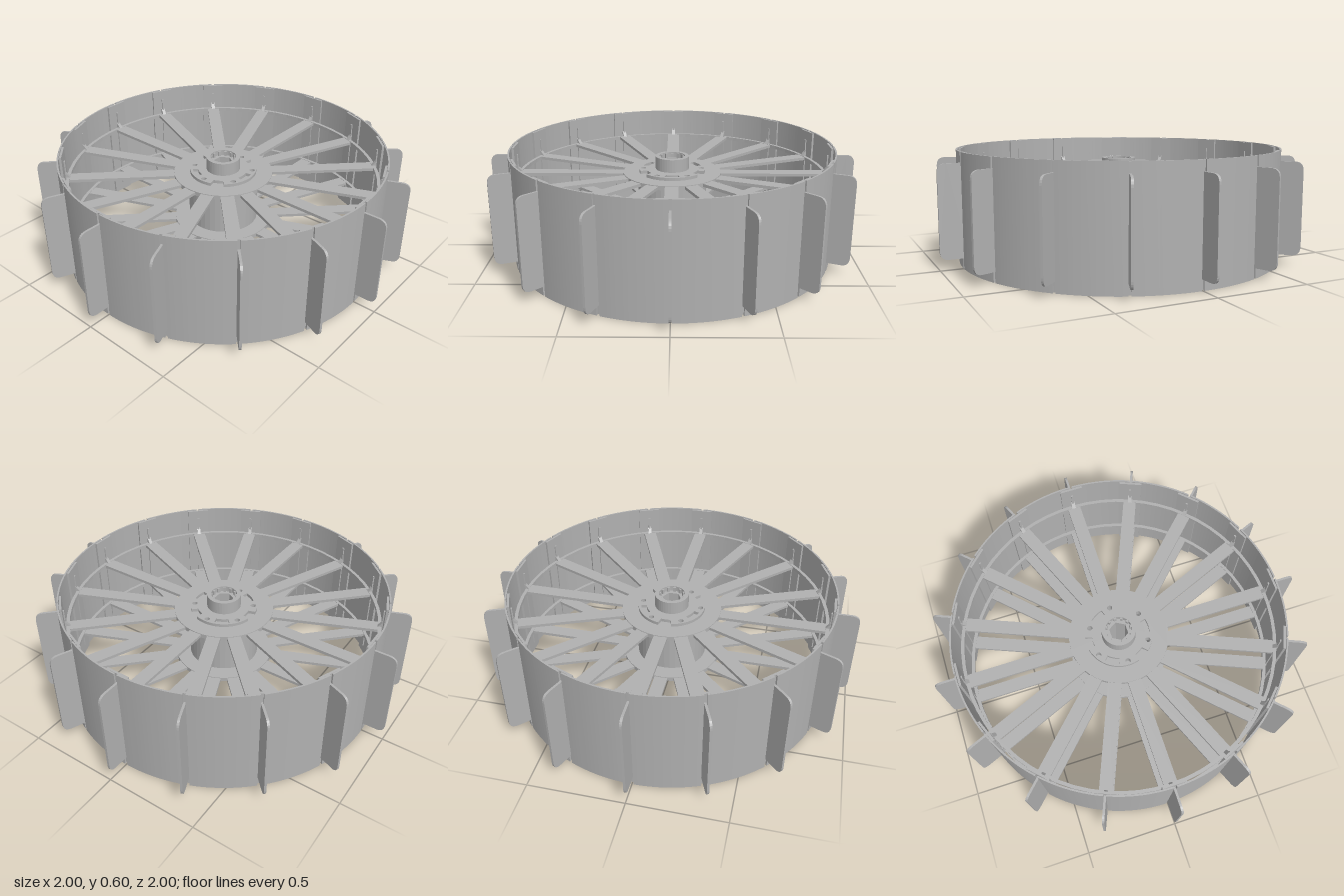
import * as THREE from 'three';

const COUNT = 16, STEP = Math.PI * 2 / COUNT, HEIGHT = 0.6;
const LEVELS = [0.16, 0.44]; // heights of the two spoke layers

export function createModel() {
  const wheel = new THREE.Group();
  wheel.name = 'paddleWheel';
  const steel = new THREE.MeshStandardMaterial({ color: 0xb0b0b0 });
  steel.name = 'grey steel';

  const add = (parent, name, geometry) => {
    const mesh = new THREE.Mesh(geometry, steel);
    mesh.name = name;
    parent.add(mesh);
    return mesh;
  };
  // Flat plate: outline seen from above, thickened upwards from y
  const plate = (shape, y, thick, curveSegments = 12) =>
    new THREE.ExtrudeGeometry(shape, { depth: thick, bevelEnabled: false, curveSegments })
      .rotateX(-Math.PI / 2).translate(0, y, 0);
  const disc = r => new THREE.Shape().absarc(0, 0, r, 0, Math.PI * 2);
  const circleHole = (shape, r, x = 0, y = 0) =>
    shape.holes.push(new THREE.Path().absarc(x, y, r, 0, Math.PI * 2, true));
  const hexHole = (shape, r) => {
    const pts = [];
    for (let i = 0; i < 6; i++) {
      const a = i * Math.PI / 3 + Math.PI / 6;
      pts.push(new THREE.Vector2(r * Math.cos(a), r * Math.sin(a)));
    }
    shape.holes.push(new THREE.Path(pts));
  };
  const boltHoles = shape => {
    for (let i = 0; i < 6; i++) {
      const a = i * Math.PI / 3 + Math.PI / 6;
      circleHole(shape, 0.014, 0.16 * Math.cos(a), 0.16 * Math.sin(a));
    }
  };
  // Arc-shaped strip between two radii and two angles
  const sector = (r0, r1, a0, a1) => {
    const s = new THREE.Shape();
    s.absarc(0, 0, r1, a0, a1, false);
    s.absarc(0, 0, r0, a1, a0, true);
    s.closePath();
    return s;
  };

  // Paddle with rounded outer corners
  const p = new THREE.Shape();
  p.moveTo(0.85, 0.055);
  p.lineTo(0.955, 0.055);
  p.quadraticCurveTo(1, 0.055, 1, 0.1);
  p.lineTo(1, 0.5);
  p.quadraticCurveTo(1, 0.545, 0.955, 0.545);
  p.lineTo(0.85, 0.545);
  p.closePath();
  const paddleGeo = new THREE.ExtrudeGeometry(p, { depth: 0.012, bevelEnabled: false, curveSegments: 6 })
    .translate(0, 0, -0.006);
  const panelGeo = plate(sector(0.872, 0.881, 0.008, STEP - 0.008), 0, HEIGHT, 8);
  const strapGeo = new THREE.BoxGeometry(0.012, HEIGHT - 0.005, 0.125).translate(0.863, HEIGHT / 2, 0);
  const spokeGeo = new THREE.BoxGeometry(0.6, 0.016, 0.072).translate(0.55, 0, 0);

  // Small triangular gusset joining a spoke tip to its strap
  const g = new THREE.Shape();
  g.moveTo(0.825, 0);
  g.lineTo(0.86, 0);
  g.lineTo(0.86, 0.045);
  g.closePath();
  const gussetGeo = new THREE.ExtrudeGeometry(g, { depth: 0.02, bevelEnabled: false }).translate(0, 0, -0.01);

  for (let i = 0; i < COUNT; i++) {
    const segment = new THREE.Group();
    segment.name = 'segment' + (i + 1);
    segment.rotation.y = i * STEP;
    add(segment, 'paddle', paddleGeo);
    add(segment, 'rimPanel', panelGeo);
    add(segment, 'strap', strapGeo);
    LEVELS.forEach((y, k) => {
      add(segment, 'spoke', spokeGeo).position.y = y;
      const gusset = add(segment, 'gusset', gussetGeo);
      gusset.position.y = y;
      if (k === 0) gusset.rotation.x = Math.PI; // lower gussets point down
    });
    wheel.add(segment);
  }

  // Inner hoops and hub discs on both spoke layers
  for (const y of LEVELS) {
    const hoop = disc(0.852);
    circleHole(hoop, 0.834);
    add(wheel, 'innerHoop', plate(hoop, y - 0.01, 0.02, 32));
    const hub = disc(0.27);
    hexHole(hub, 0.052);
    boltHoles(hub);
    add(wheel, 'hubDisc', plate(hub, y - 0.012, 0.024, 24));
  }

  // Hub drum between the discs
  const drum = disc(0.19);
  circleHole(drum, 0.178);
  add(wheel, 'hubDrum', plate(drum, LEVELS[0], LEVELS[1] - LEVELS[0], 20));

  // Raised flange with three edge notches and three curved slots
  const flange = new THREE.Shape();
  for (let i = 0; i < 3; i++) {
    const a = i * Math.PI * 2 / 3;
    flange.absarc(0, 0, 0.182, a - 0.85, a + 0.85, false);
    flange.absarc(0, 0, 0.145, a + 0.87, a + Math.PI * 2 / 3 - 0.87, false);
  }
  flange.closePath();
  for (let i = 0; i < 3; i++) {
    const a = i * Math.PI * 2 / 3, slot = new THREE.Path();
    slot.absarc(0, 0, 0.167, a - 0.24, a + 0.24, false);
    slot.absarc(0, 0, 0.137, a + 0.24, a - 0.24, true);
    slot.closePath();
    flange.holes.push(slot);
  }
  boltHoles(flange);
  circleHole(flange, 0.08);
  add(wheel, 'hubFlange', plate(flange, LEVELS[1] + 0.011, 0.018, 10));

  // Boss with a recessed hexagonal bore
  const boss = disc(0.092);
  circleHole(boss, 0.07);
  add(wheel, 'boss', plate(boss, LEVELS[1], 0.1, 20));
  const bore = disc(0.071);
  hexHole(bore, 0.052);
  add(wheel, 'hexBore', plate(bore, LEVELS[0], 0.35, 16));

  // Splines inside the mouth of the boss
  for (let i = 0; i < 12; i++) {
    const spline = add(wheel, 'spline', new THREE.BoxGeometry(0.012, 0.03, 0.014).translate(0.067, 0.52, 0));
    spline.rotation.y = i * Math.PI / 6;
  }
  return wheel;
}
